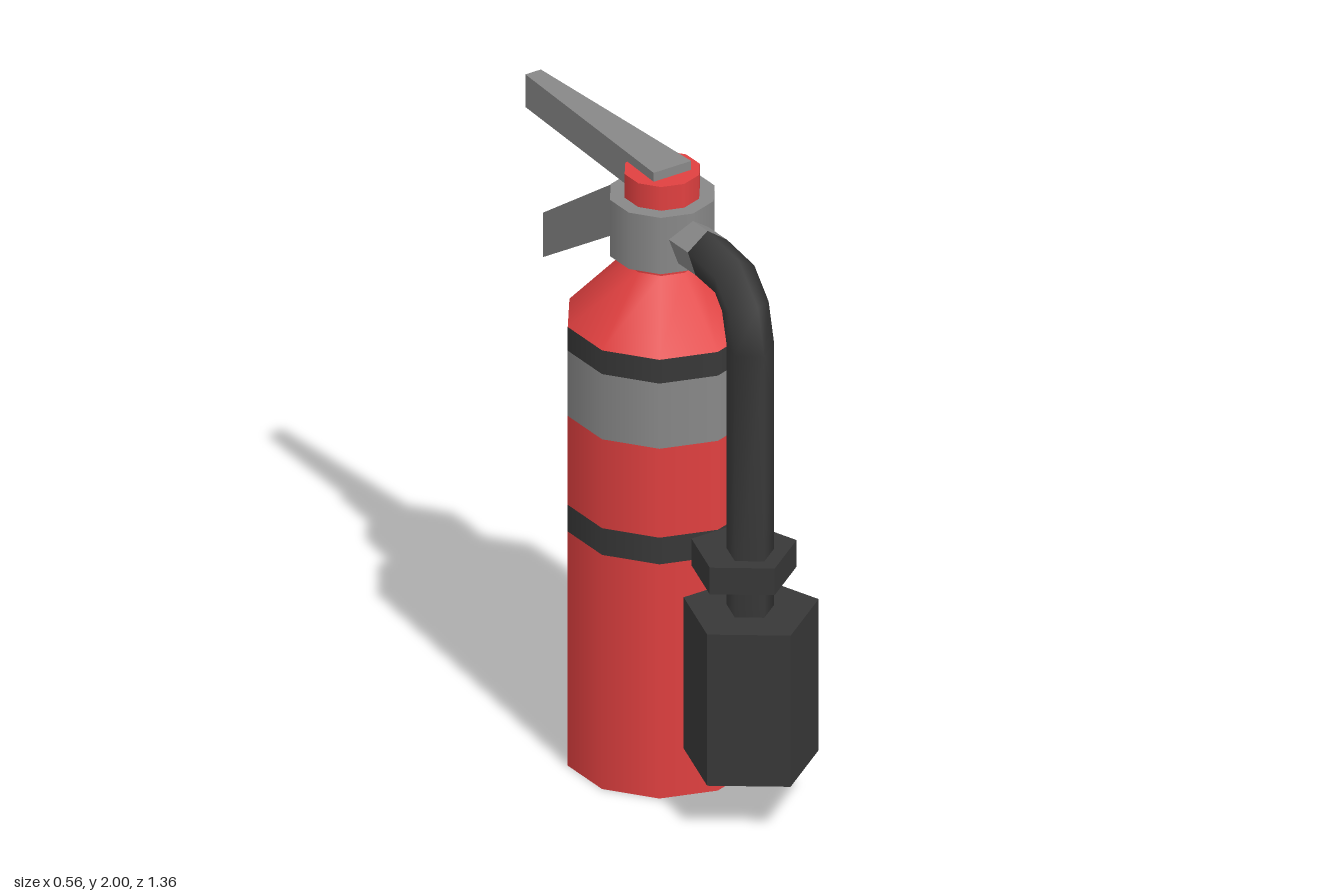
import * as THREE from 'three';

const paint = (color, flatShading = false) =>
  new THREE.MeshStandardMaterial({ color, flatShading });
const RED = 0xe04040, DARK = 0x383838, GREY = 0x888888;
const BODY_Z = 0.003;

export function createModel() {
  const model = new THREE.Group();

  const add = (name, geometry, material) => {
    const mesh = new THREE.Mesh(geometry, material);
    mesh.name = name;
    model.add(mesh);
    return mesh;
  };

  // Upright prism between two heights
  const prism = (name, rBottom, rTop, y0, y1, sides, z, material, open = false) => {
    const g = new THREE.CylinderGeometry(rTop, rBottom, y1 - y0, sides, 1, open);
    g.translate(0, (y0 + y1) / 2, z);
    return add(name, g, material);
  };

  // Ten-sided tank, stacked in colour bands
  const R = 0.294;
  const bands = [
    ['tankBase', 0, 0.79, RED],
    ['strap', 0.79, 0.88, DARK],
    ['tankMiddle', 0.88, 1.18, RED],
    ['labelBand', 1.18, 1.4, GREY],
    ['upperStripe', 1.4, 1.48, DARK],
  ];
  for (const [name, y0, y1, color] of bands)
    prism(name, R, R, y0, y1, 10, BODY_Z, paint(color), true);
  const bottom = new THREE.CircleGeometry(R, 10, Math.PI / 2);
  bottom.rotateX(Math.PI / 2).translate(0, 0, BODY_Z);
  // After the turn a corner must point along z, matching the tank
  add('tankBottom', bottom, paint(RED));

  // Shoulder, neck and valve collar
  prism('shoulder', R, 0.117, 1.48, 1.67, 10, BODY_Z, paint(RED), true);
  prism('neck', 0.117, 0.117, 1.66, 1.97, 10, BODY_Z, paint(RED));
  prism('valveCollar', 0.163, 0.163, 1.7, 1.89, 10, BODY_Z, paint(GREY));

  // Five-sided nozzle horn and the clip that holds the hose
  prism('nozzleHorn', 0.212, 0.212, 0.18, 0.69, 5, 0.47, paint(DARK, true));
  prism('hoseClip', 0.165, 0.165, 0.79, 0.88, 5, 0.433, paint(DARK, true));

  // Five-sided tube: rings of [z, y, tilt], tilt turning the ridge from +z to +y
  const sweep = (rings, radius) => {
    const pos = [], idx = [], n = 5;
    for (const [z, y, tilt] of rings) {
      const t = THREE.MathUtils.degToRad(tilt);
      for (let i = 0; i < n; i++) {
        const a = (i / n) * Math.PI * 2, out = Math.cos(a) * radius;
        pos.push(Math.sin(a) * radius, y + out * Math.sin(t), z + out * Math.cos(t));
      }
    }
    for (let k = 0; k < rings.length - 1; k++)
      for (let i = 0; i < n; i++) {
        const a = k * n + i, b = k * n + ((i + 1) % n);
        idx.push(a, b, b + n, a, b + n, a + n);
      }
    const g = new THREE.BufferGeometry();
    g.setAttribute('position', new THREE.Float32BufferAttribute(pos, 3));
    g.setIndex(idx);
    g.computeVertexNormals();
    return g;
  };
  add('hose', sweep([
    [0.468, 0.68, 0], [0.468, 1.57, 0], [0.44, 1.692, 22],
    [0.375, 1.769, 62], [0.243, 1.79, 90],
  ], 0.075), paint(DARK));
  add('hoseConnector', sweep([[0.243, 1.79, 90], [0.09, 1.79, 90]], 0.075),
    paint(GREY, true));

  // Tapered lever: each end is [z, yBottom, yTop, halfWidth]
  const lever = (name, front, back) => {
    const g = new THREE.BoxGeometry(1, 1, 1);
    const p = g.attributes.position;
    for (let i = 0; i < p.count; i++) {
      const [z, yLow, yHigh, half] = p.getZ(i) > 0 ? front : back;
      p.setXYZ(i, Math.sign(p.getX(i)) * half, p.getY(i) > 0 ? yHigh : yLow, z);
    }
    g.computeVertexNormals();
    add(name, g, paint(GREY, true));
  };
  lever('upperLever', [0.057, 1.89, 2, 0.068], [-0.68, 1.89, 2, 0.028]);
  lever('carryHandle', [-0.13, 1.715, 1.89, 0.068], [-0.585, 1.425, 1.575, 0.03]);

  return model;
}
